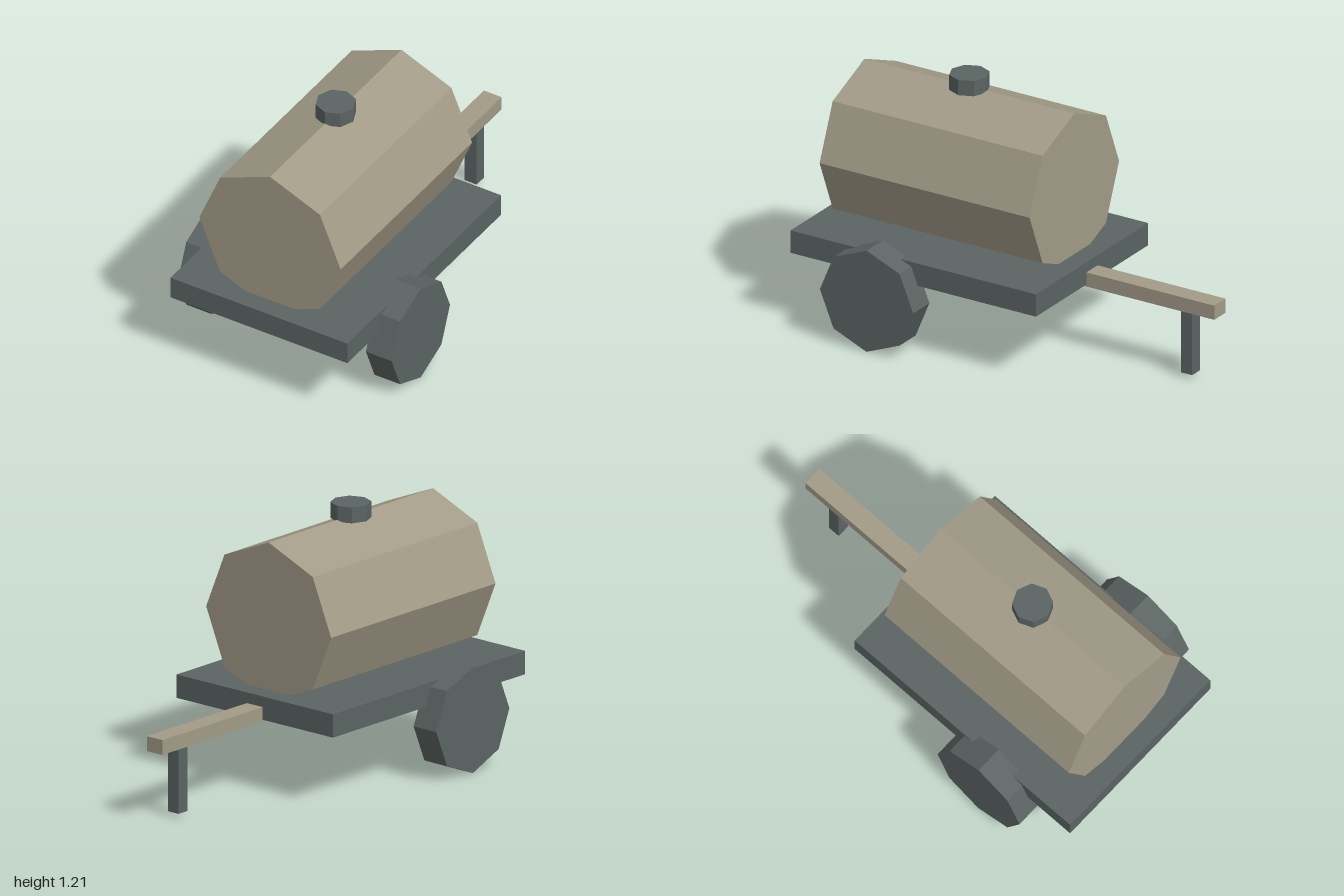
import * as THREE from 'three';

export function createModel() {
  const group = new THREE.Group();
  const tan = new THREE.MeshStandardMaterial({ color: 0xa29b87 });
  tan.name = 'tank tan';
  const grey = new THREE.MeshStandardMaterial({ color: 0x5b6463 });
  grey.name = 'chassis grey';

  function add(name, geometry, material, x, y, z) {
    const mesh = new THREE.Mesh(geometry, material);
    mesh.name = name;
    mesh.position.set(x, y, z);
    group.add(mesh);
  }

  // Eight-sided prism with corners on the axes and one flat normal per facet
  function octagon(radius, length) {
    const geometry = new THREE.CylinderGeometry(radius, radius, length, 8).toNonIndexed();
    geometry.computeVertexNormals();
    return geometry;
  }

  // Flat bed, with the tank sunk slightly into it
  add('bed', new THREE.BoxGeometry(0.94, 0.11, 1.315), grey, 0, 0.395, 0.3425);
  add('tank', octagon(0.375, 1.125).rotateX(Math.PI / 2), tan, 0, 0.77, 0.3425);
  add('fillerCap', octagon(0.093, 0.075), grey, 0, 1.1725, 0.3425);

  // Wheels
  for (const side of [1, -1]) {
    const name = side > 0 ? 'leftWheel' : 'rightWheel';
    add(name, octagon(0.25, 0.136).rotateZ(Math.PI / 2), grey, side * 0.5, 0.25, 0.53);
  }

  // Drawbar and its prop leg
  add('drawbar', new THREE.BoxGeometry(0.094, 0.07, 0.75), tan, 0, 0.365, -0.625);
  add('propLeg', new THREE.BoxGeometry(0.064, 0.312, 0.06), grey, 0, 0.176, -0.842);

  return group;
}
